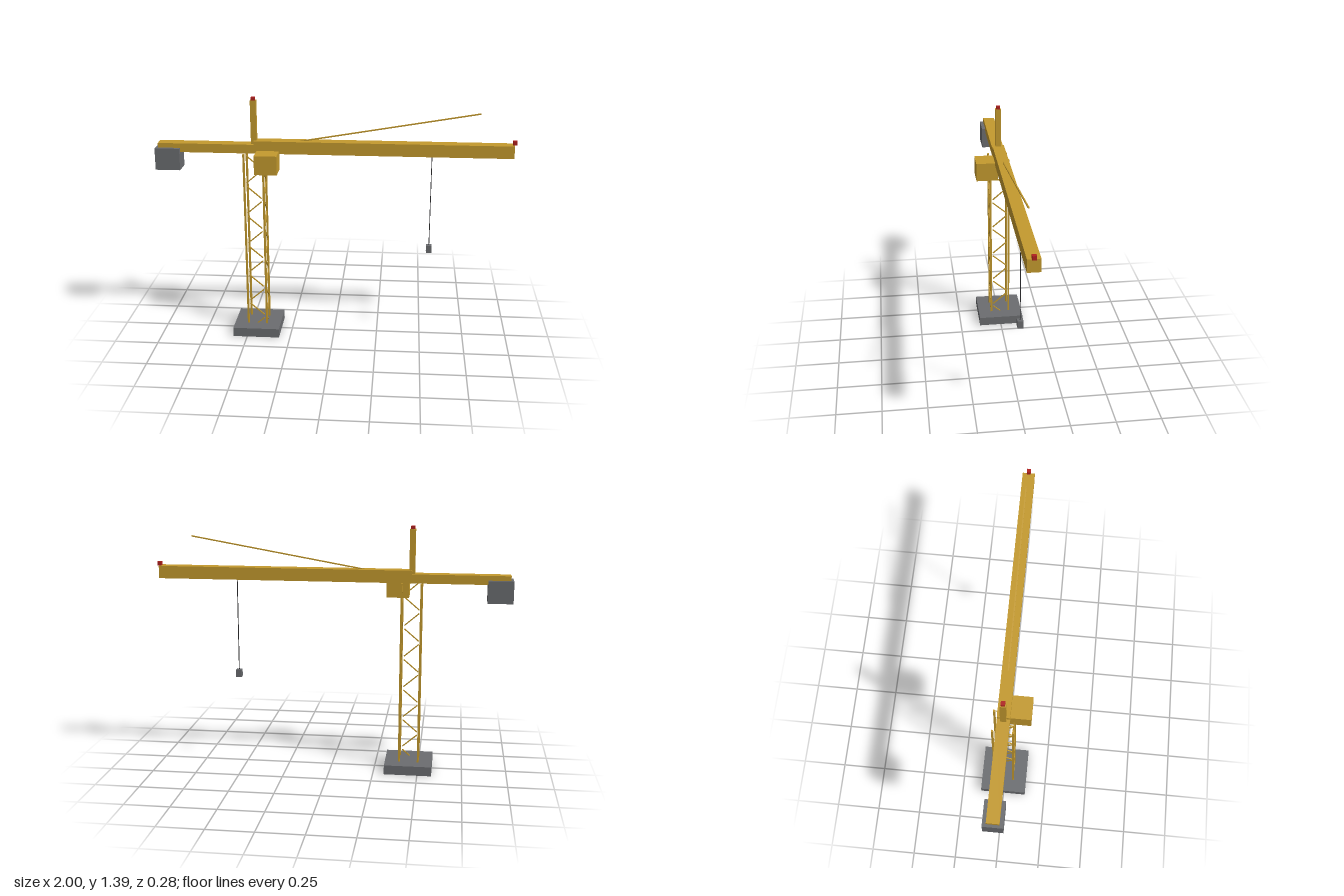
import * as THREE from 'three';

export function createModel() {
  const crane = new THREE.Group();
  crane.name = 'towerCrane';

  const mat = (name, color) => {
    const m = new THREE.MeshStandardMaterial({ color });
    m.name = name;
    return m;
  };
  const yellow = mat('craneYellow', 0xc49a2e);
  const grey = mat('concreteGrey', 0x6b6d70);
  const red = mat('warningRed', 0xb0201e);
  const dark = mat('cableDark', 0x2b2b2d);

  // Box given by its [min, max] range on each axis
  const box = (name, material, [x0, x1], [y0, y1], [z0, z1], parent = crane) => {
    const mesh = new THREE.Mesh(new THREE.BoxGeometry(x1 - x0, y1 - y0, z1 - z0), material);
    mesh.position.set((x0 + x1) / 2, (y0 + y1) / 2, (z0 + z1) / 2);
    mesh.name = name;
    parent.add(mesh);
    return mesh;
  };

  // Square bar between two points
  const bar = (name, material, a, b, size, parent = crane) => {
    const mesh = new THREE.Mesh(new THREE.BoxGeometry(size, size, a.distanceTo(b)), material);
    mesh.position.copy(a).add(b).multiplyScalar(0.5);
    mesh.lookAt(b);
    mesh.name = name;
    parent.add(mesh);
    return mesh;
  };
  const V = (x, y, z) => new THREE.Vector3(x, y, z);

  const cx = -0.447, cz = -0.003; // tower axis
  const half = 0.054; // axis to leg centre

  // Foundation
  box('foundation', grey, [-0.58, -0.313], [0, 0.053], [cz - 0.134, cz + 0.134]);

  // Tower legs
  const tower = new THREE.Group();
  tower.name = 'tower';
  crane.add(tower);
  const r = 0.0055;
  for (const sx of [-1, 1]) {
    for (const sz of [-1, 1]) {
      const x = cx + sx * half, z = cz + sz * half;
      box('towerLeg', yellow, [x - r, x + r], [0.05, 1.08], [z - r, z + r], tower);
    }
  }

  // Zigzag braces on the front and the jib side of the tower
  for (let k = 0; k < 12; k++) {
    const y = 0.053 + k * 0.0897;
    const rise = (k % 2 ? -1 : 1) * 0.035;
    const span = 0.041;
    bar('frontBrace', yellow, V(cx - span, y - rise, cz + half),
      V(cx + span, y + rise, cz + half), 0.006, tower);
    bar('sideBrace', yellow, V(cx + half, y - rise, cz - span),
      V(cx + half, y + rise, cz + span), 0.006, tower);
  }

  // Jib, counter jib and counterweight
  const beamZ = [cz - 0.034, cz + 0.034];
  box('jib', yellow, [cx, 0.985], [1.08, 1.15], beamZ);
  box('counterJib', yellow, [-0.985, cx], [1.08, 1.13], beamZ);
  box('counterweight', grey, [-1, -0.861], [0.98, 1.104], [cz - 0.054, cz + 0.054]);

  // Mast head, operator cab and stay
  box('mastHead', yellow, [cx - 0.016, cx + 0.016], [1.1, 1.375], [cz - 0.016, cz + 0.016]);
  box('cab', yellow, [-0.43, -0.305], [0.989, 1.096], [0.015, 0.14]);
  bar('stay', yellow, V(cx, 1.102, cz), V(0.797, 1.319, cz), 0.007);

  // Warning lights
  const lamp = (x, y) =>
    box('warningLight', red, [x - 0.011, x + 0.011], [y, y + 0.022], [cz - 0.011, cz + 0.011]);
  lamp(cx, 1.37);
  lamp(0.988, 1.15);

  // Hoist rope and hook block
  box('hoistRope', dark, [0.538, 0.542], [0.55, 1.085], [cz - 0.002, cz + 0.002]);
  box('hookBlock', grey, [0.524, 0.556], [0.51, 0.553], [cz - 0.016, cz + 0.016]);

  return crane;
}
